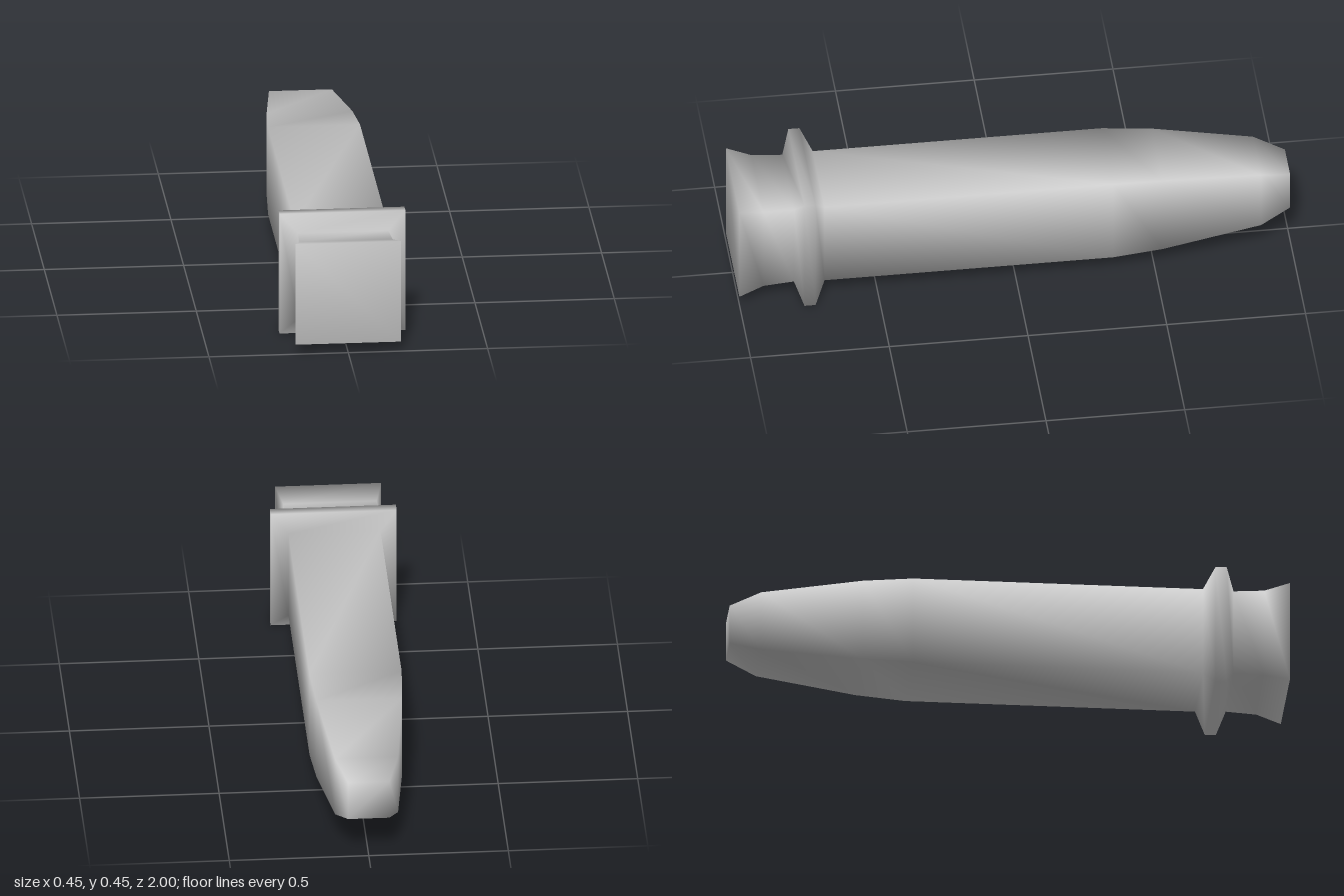
import * as THREE from 'three';

const CENTER_Y = 0.226;

// [z, half width] of each square section, from the flared base to the blunt tip
const SECTIONS = [
  [1, 0.19], [0.91, 0.167], [0.8, 0.162],               // flared base and neck
  [0.77, 0.226], [0.73, 0.226], [0.69, 0.165],          // collar
  [-0.35, 0.165], [-0.53, 0.154], [-0.89, 0.113], [-1, 0.074], // shaft and taper
];

// Square sections joined into one closed, smoothly shaded skin
function squareLoft(sections) {
  const corners = [[1, -1], [1, 1], [-1, 1], [-1, -1]];
  const positions = [];
  const index = [];
  sections.forEach(([z, half], s) => {
    corners.forEach(([x, y], i) => {
      positions.push(x * half, y * half, z);
      if (s === sections.length - 1) return;
      const a = s * 4 + i;
      const b = s * 4 + (i + 1) % 4;
      index.push(a, a + 4, b, b, a + 4, b + 4);
    });
  });
  // End caps share the rim vertices so the shading rolls over the edges
  const e = (sections.length - 1) * 4;
  index.push(0, 1, 2, 0, 2, 3, e, e + 2, e + 1, e, e + 3, e + 2);

  const geometry = new THREE.BufferGeometry();
  geometry.setAttribute('position', new THREE.Float32BufferAttribute(positions, 3));
  geometry.setIndex(index);
  geometry.computeVertexNormals();
  return geometry;
}

export function createModel() {
  const group = new THREE.Group();
  group.name = 'collaredSquareShaft';
  const material = new THREE.MeshStandardMaterial({ color: 0xcccccc });
  const body = new THREE.Mesh(squareLoft(SECTIONS), material);
  body.name = 'shaftWithCollar';
  body.position.y = CENTER_Y;
  group.add(body);
  return group;
}
